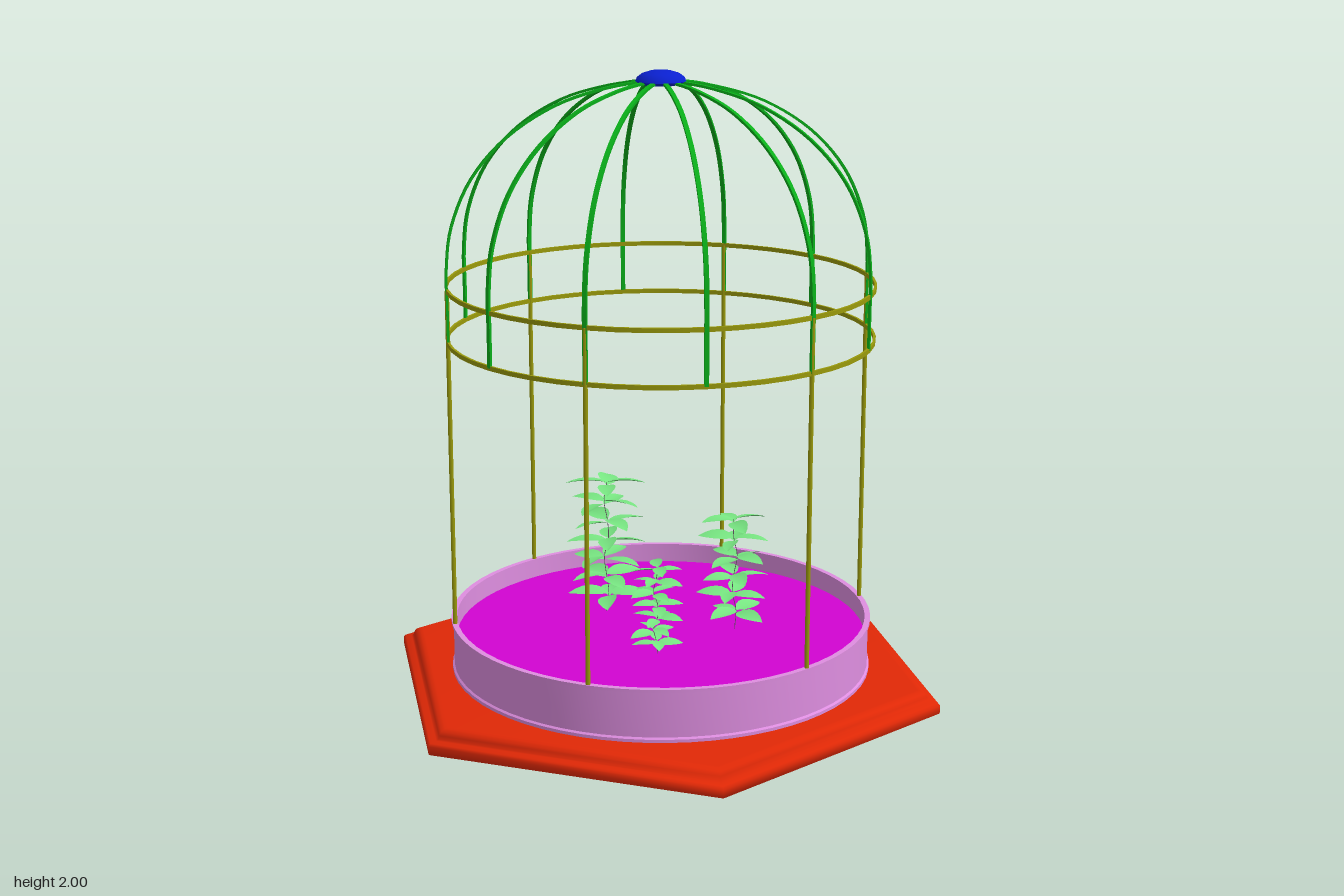
import * as THREE from 'three';
import { toCreasedNormals, mergeGeometries } from 'three/addons/utils/BufferGeometryUtils.js';

const R = 0.675; // cage radius
const WIRE = 0.007;
const SOIL_Y = 0.175;
const RIM_Y = 0.24;

const mat = (color, side = THREE.FrontSide) => new THREE.MeshStandardMaterial({ color, side });
const red = mat(0xe02806, THREE.DoubleSide), pink = mat(0xde8ee0), soilPurple = mat(0xd204d2);
const olive = mat(0x9a9a0c), green = mat(0x0ab01a), blue = mat(0x0a20d0);
const leafGreen = mat(0x78e682, THREE.DoubleSide), stemGrey = mat(0x6a5a6a);

function add(parent, name, geometry, material) {
  const mesh = new THREE.Mesh(geometry, material);
  mesh.name = name;
  parent.add(mesh);
  return mesh;
}

// Revolved profile of [radius, height] pairs, running from bottom to top
function lathe(profile, sides, crease = 0.6) {
  const points = profile.map(([r, y]) => new THREE.Vector2(r, y));
  return toCreasedNormals(new THREE.LatheGeometry(points, sides), crease);
}

// Pointed leaf lying along +x, folded along the midrib and drooping at the tip
function leafGeometry(length) {
  const w = length * 0.24, rows = 6, pos = [], index = [];
  for (let i = 0; i <= rows; i++) {
    const t = i / rows;
    const half = w * Math.pow(Math.sin(Math.PI * Math.pow(t, 0.85)), 0.8) + 0.0008;
    const y = length * (0.18 * t - 0.2 * t * t);
    for (const s of [-1, 0, 1]) pos.push(t * length, y + Math.abs(s) * half * 0.2, s * half);
    if (i < rows) {
      for (const k of [0, 1]) {
        const a = i * 3 + k;
        index.push(a, a + 1, a + 3, a + 1, a + 4, a + 3);
      }
    }
  }
  const g = new THREE.BufferGeometry();
  g.setAttribute('position', new THREE.Float32BufferAttribute(pos, 3));
  g.setIndex(index);
  g.computeVertexNormals();
  return g;
}

// Thin stem with tiers of four leaves, turned from one tier to the next
function makePlant(x, z, topY, spread, tiers, turn) {
  const plant = new THREE.Group();
  plant.name = 'plant';
  plant.position.set(x, 0, z);
  const stemPoints = [], leaves = [];
  for (let i = 0; i <= tiers; i++) {
    const t = i / tiers;
    const p = new THREE.Vector3(
      0.006 * Math.sin(i * 1.7 + turn), SOIL_Y + (topY - SOIL_Y) * t, 0.006 * Math.cos(i * 2.1 + turn));
    stemPoints.push(p);
    if (i === 0) continue;
    for (let k = 0; k < 4; k++) {
      const leaf = leafGeometry(spread * (0.93 + 0.07 * Math.sin(i * 3 + k * 2)));
      leaf.rotateX(0.25 * Math.sin(i + k * 2.3));
      leaf.rotateY(turn + i * 0.53 + k * Math.PI / 2);
      leaf.translate(p.x, p.y - 0.01 * (k % 2), p.z);
      leaves.push(leaf);
    }
  }
  const curve = new THREE.CatmullRomCurve3(stemPoints);
  add(plant, 'stem', new THREE.TubeGeometry(curve, 24, 0.0012, 5), stemGrey);
  add(plant, 'leaves', mergeGeometries(leaves), leafGreen);
  return plant;
}

// Flat strap bent along the dome, thin radially and wide across
function ribGeometry() {
  const curve = new THREE.SplineCurve([
    [R, 1.165], [R, 1.28], [R, 1.4], [0.656, 1.535], [0.592, 1.68], [0.48, 1.805],
    [0.33, 1.898], [0.17, 1.948], [0.03, 1.968],
  ].map(([x, y]) => new THREE.Vector2(x, y)));
  const outer = [], inner = [];
  for (let i = 0; i <= 40; i++) {
    const p = curve.getPoint(i / 40), t = curve.getTangent(i / 40);
    const offset = new THREE.Vector2(t.y, -t.x).multiplyScalar(0.004);
    outer.push(p.clone().add(offset));
    inner.unshift(p.clone().sub(offset));
  }
  const strap = new THREE.ExtrudeGeometry(new THREE.Shape([...outer, ...inner]),
    { depth: WIRE * 2, bevelEnabled: false });
  strap.translate(0, 0, -WIRE);
  return toCreasedNormals(strap, 0.6);
}

export function createModel() {
  const model = new THREE.Group();
  model.name = 'birdcagePlanter';

  // Stepped hexagonal base, a shell open underneath, corners towards +z and -z
  add(model, 'base', lathe([
    [0.932, 0], [0.935, 0.005], [0.935, 0.028], [0.927, 0.036], [0.905, 0.038],
    [0.897, 0.042], [0.894, 0.052], [0.886, 0.063], [0.872, 0.069], [0.86, 0.07], [0, 0.07],
  ], 6, 1.2), red);

  // Round tray with a foot and a rim, let slightly into the base, and the soil inside it
  add(model, 'tray', lathe([
    [0.672, 0.067], [0.683, 0.067], [0.683, 0.08], [0.677, 0.085], [0.677, 0.228], [0.684, 0.23],
    [0.684, RIM_Y], [0.666, RIM_Y], [0.666, 0.07],
  ], 64), pink);
  const soil = add(model, 'soil', new THREE.CircleGeometry(0.667, 64), soilPurple);
  soil.rotation.x = -Math.PI / 2;
  soil.position.y = SOIL_Y;

  // Six upright posts standing on the rim
  const postTop = 1.333;
  for (let i = 0; i < 6; i++) {
    const a = i * Math.PI / 3;
    const post = add(model, 'post',
      new THREE.CylinderGeometry(WIRE, WIRE, postTop - RIM_Y, 8), olive);
    post.position.set(R * Math.cos(a), (RIM_Y + postTop) / 2, R * Math.sin(a));
  }

  // Two flat hoops
  const hoopGeometry = lathe([
    [R - 0.004, -WIRE], [R + 0.004, -WIRE], [R + 0.004, WIRE], [R - 0.004, WIRE], [R - 0.004, -WIRE],
  ], 48);
  for (const y of [1.165, 1.333]) add(model, 'hoop', hoopGeometry, olive).position.y = y;

  // Twelve domed ribs
  const rib = ribGeometry();
  for (let i = 0; i < 12; i++) add(model, 'rib', rib, green).rotation.y = i * Math.PI / 6;

  // Domed cap where the ribs meet
  add(model, 'cap', lathe([
    [0, 1.952], [0.05, 1.954], [0.07, 1.96], [0.079, 1.966], [0.074, 1.978],
    [0.058, 1.99], [0.032, 1.998], [0, 2],
  ], 32, 1), blue);

  // Three plants
  model.add(
    makePlant(-0.24, 0.03, 0.625, 0.14, 7, 0.3),
    makePlant(0.16, -0.18, 0.55, 0.122, 6, 1.1),
    makePlant(0.16, 0.16, 0.465, 0.09, 7, 2.0),
  );
  return model;
}
